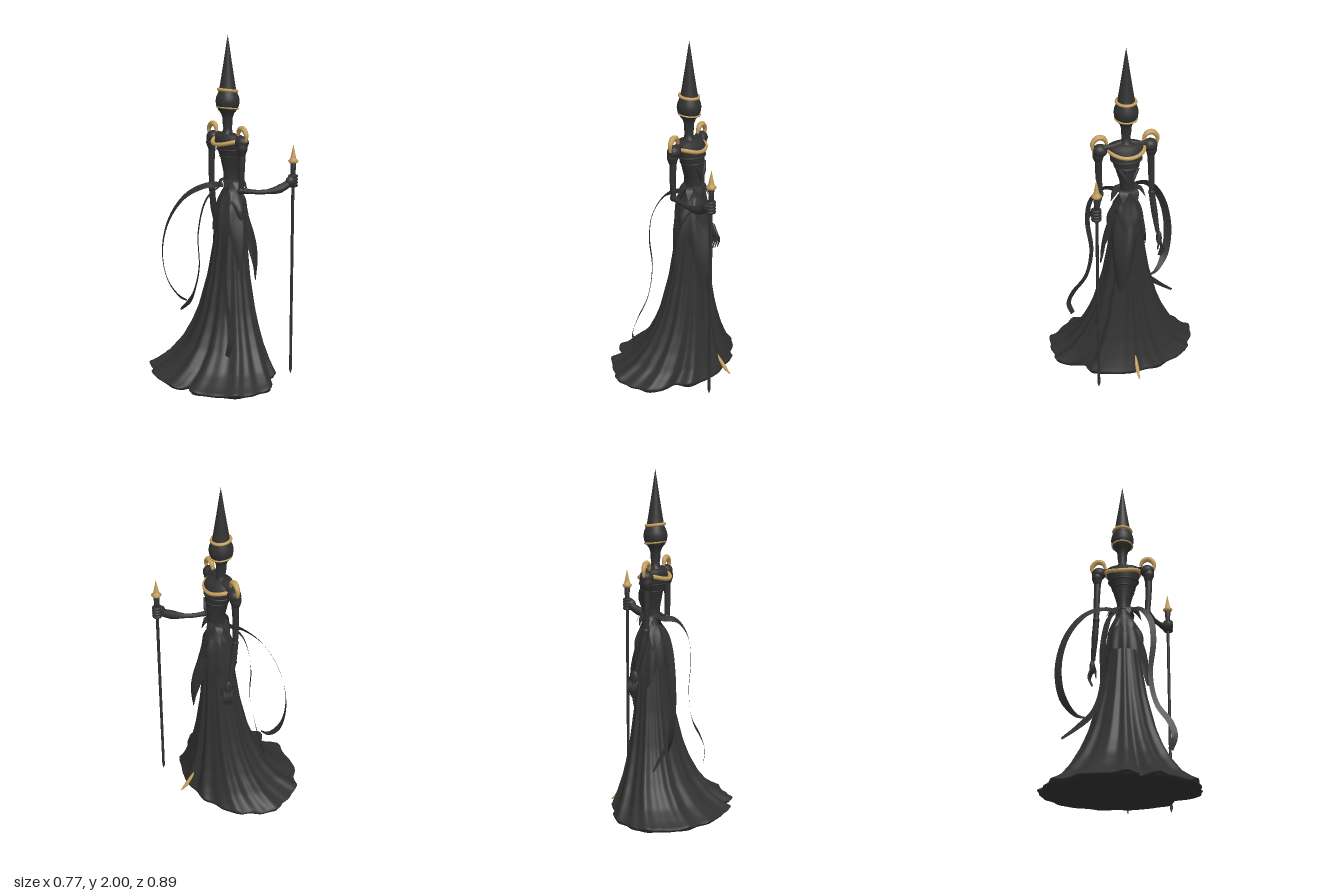
import * as THREE from 'three';

const V = (x, y, z) => new THREE.Vector3(x, y, z);
const dark = new THREE.MeshStandardMaterial({ color: 0x313131, side: THREE.DoubleSide });
dark.name = 'charcoal';
const gold = new THREE.MeshStandardMaterial({ color: 0xc39e5a, side: THREE.DoubleSide });
gold.name = 'gold';

// Surface from rows of points; point(row, angle) gives a vertex, angles wrap round
function loft(rows, segs, point) {
  const pos = [], idx = [];
  for (let i = 0; i <= rows; i++)
    for (let j = 0; j < segs; j++) pos.push(...point(i, (j / segs) * Math.PI * 2));
  for (let i = 0; i < rows; i++)
    for (let j = 0; j < segs; j++) {
      const a = i * segs + j, b = i * segs + (j + 1) % segs, c = a + segs, d = b + segs;
      idx.push(a, c, b, b, c, d);
    }
  const g = new THREE.BufferGeometry();
  g.setAttribute('position', new THREE.Float32BufferAttribute(pos, 3));
  g.setIndex(idx);
  g.computeVertexNormals();
  return g;
}

// Linear lookup in a list of numbers, t from 0 to 1
function sample(list, t) {
  const f = t * (list.length - 1), i = Math.min(Math.floor(f), list.length - 2);
  return list[i] + (list[i + 1] - list[i]) * (f - i);
}

// Round tube whose radius changes along its path
function limb(pts, radii, segs = 24, sides = 10) {
  const curve = new THREE.CatmullRomCurve3(pts);
  const g = new THREE.TubeGeometry(curve, segs, 1, sides);
  const p = g.attributes.position, v = V();
  for (let i = 0; i < p.count; i++) {
    const t = Math.floor(i / (sides + 1)) / segs, c = curve.getPointAt(t);
    v.fromBufferAttribute(p, i).sub(c).multiplyScalar(sample(radii, t)).add(c);
    p.setXYZ(i, v.x, v.y, v.z);
  }
  g.computeVertexNormals();
  return g;
}

// Flat strip along a path; side(tangent) gives its width direction
function ribbon(pts, widths, side, segs = 40) {
  const curve = new THREE.CatmullRomCurve3(pts), pos = [], idx = [];
  for (let i = 0; i <= segs; i++) {
    const t = i / segs, c = curve.getPointAt(t);
    const s = side(curve.getTangentAt(t)).normalize().multiplyScalar(sample(widths, t) / 2);
    pos.push(c.x - s.x, c.y - s.y, c.z - s.z, c.x + s.x, c.y + s.y, c.z + s.z);
    if (i < segs) idx.push(2 * i, 2 * i + 1, 2 * i + 2, 2 * i + 1, 2 * i + 3, 2 * i + 2);
  }
  const g = new THREE.BufferGeometry();
  g.setAttribute('position', new THREE.Float32BufferAttribute(pos, 3));
  g.setIndex(idx);
  g.computeVertexNormals();
  return g;
}

// Skirt outline: height, back x, front x, half width
const SKIRT = [
  [0.01, -0.36, 0.285, 0.435], [0.025, -0.38, 0.295, 0.445], [0.05, -0.33, 0.285, 0.405], [0.1, -0.255, 0.268, 0.345],
  [0.2, -0.17, 0.24, 0.275], [0.3, -0.12, 0.222, 0.225], [0.4, -0.085, 0.208, 0.187], [0.6, -0.04, 0.188, 0.137],
  [0.8, -0.012, 0.178, 0.105], [1, 0.008, 0.165, 0.08], [1.06, 0.025, 0.158, 0.066], [1.12, 0.042, 0.148, 0.045],
];
function skirtAt(y) {
  let i = 0;
  while (i < SKIRT.length - 2 && y > SKIRT[i + 1][0]) i++;
  const [a, b] = [SKIRT[i], SKIRT[i + 1]], t = (y - a[0]) / (b[0] - a[0]);
  const [lo, hi, rz] = [1, 2, 3].map((k) => a[k] + (b[k] - a[k]) * t);
  return { cx: (lo + hi) / 2, rx: (hi - lo) / 2, rz };
}
// Smooth bump around angle c
const peak = (a, c, w) => Math.exp(-((Math.atan2(Math.sin(a - c), Math.cos(a - c)) / w) ** 2));

export function createModel() {
  const model = new THREE.Group();
  const add = (name, geo, mat = dark, parent = model) => {
    const m = new THREE.Mesh(geo, mat);
    m.name = name;
    parent.add(m);
    return m;
  };
  const ball = (name, x, y, z, sx, sy, sz) => {
    const m = add(name, new THREE.SphereGeometry(1, 20, 14));
    m.position.set(x, y, z);
    m.scale.set(sx, sy, sz);
  };

  // Pleated skirt with a spreading train and a closed underside
  const N = 48;
  add('skirt', loft(N, 180, (i, a) => {
    const u = Math.max(0, i - 1) / (N - 1), y = 0.01 + 1.11 * u ** 1.7, s = skirtAt(y);
    const fold = Math.sin(11 * a + 1.5 * Math.sin(2 * a) + u) + 0.6 * Math.sin(19 * a + 2 - u);
    const notch = (0.2 * peak(a, 2.75, 0.06) + 0.14 * peak(a, 0.85, 0.2)) * (1 - u) ** 3;
    const k = i === 0 ? 0 : 1 + (0.016 + 0.022 * Math.sin(Math.PI * Math.min(1, u * 1.1))) * fold - notch;
    const lift = 0.008 * Math.max(0, fold) * (1 - u) * (i > 1 ? 1 : 0);
    return [s.cx + s.rx * k * Math.cos(a), y + lift, s.rz * k * Math.sin(a)];
  }));

  // Draped overskirts with pointed, flaring hems
  const drape = (name, top, hem, flare) => add(name, loft(20, 120, (i, a) => {
    const t = i / 20, y = hem(a) + (top - hem(a)) * t, s = skirtAt(y);
    const grow = 0.006 + flare(a) * Math.sin(Math.PI * Math.min(1, (1 - t) * 0.72)) ** 2 + 0.006 * Math.sin(9 * a) * (1 - t);
    return [s.cx + (s.rx + grow) * Math.cos(a), y, (s.rz + grow) * Math.sin(a)];
  }));
  drape('longDrape', 1.09, (a) => 0.88 - 0.32 * peak(a, 0.4, 0.45) - 0.22 * peak(a, 1.8, 0.3) - 0.12 * peak(a, 4.6, 0.4),
    (a) => 0.008 + 0.05 * peak(a, 0.3, 0.5) + 0.024 * peak(a, 1.7, 0.4));
  drape('shortDrape', 1.11, (a) => 0.99 - 0.18 * peak(a, 0, 0.45) - 0.05 * Math.sin(5 * a),
    (a) => 0.006 + 0.02 * peak(a, 0, 0.6) + 0.018 * peak(a, 1.6, 0.4));

  // Bodice: height, centre x, half depth, half width
  const BODY = [[1.04, 0.095, 0.065, 0.066], [1.1, 0.095, 0.056, 0.05], [1.16, 0.095, 0.052, 0.036], [1.22, 0.095, 0.055, 0.042],
    [1.3, 0.09, 0.064, 0.066], [1.35, 0.085, 0.073, 0.086], [1.4, 0.078, 0.078, 0.1], [1.43, 0.07, 0.065, 0.098],
    [1.44, 0.064, 0.03, 0.035]];
  add('bodice', loft(BODY.length - 1, 40, (i, a) => {
    const [y, cx, rx, rz] = BODY[i];
    return [cx + rx * Math.cos(a), y, rz * Math.sin(a)];
  }));
  for (const [y, cx, rx, rz] of [[1.31, 0.09, 0.066, 0.067], [1.35, 0.084, 0.073, 0.086], [1.16, 0.095, 0.053, 0.038]]) {
    const band = add('bodiceBand', new THREE.TorusGeometry(1, 0.08, 8, 40).rotateX(Math.PI / 2));
    band.position.set(cx, y, 0);
    band.scale.set(rx, 0.07, rz);
  }
  for (const s of [1, -1])
    add('bodiceSeam', limb([V(0.14, 1.31, 0.055 * s), V(0.153, 1.26, 0.025 * s), V(0.15, 1.2, 0)], [0.007, 0.01, 0.004]));

  // Gold neckline, dipping at the front
  const neckline = [];
  for (let j = 0; j < 24; j++) {
    const a = (j / 24) * Math.PI * 2;
    neckline.push(V(0.07 + 0.086 * Math.cos(a), 1.383 + 0.022 * Math.sin(a) ** 2, 0.102 * Math.sin(a) - 0.003));
  }
  add('neckline', new THREE.TubeGeometry(new THREE.CatmullRomCurve3(neckline, true), 64, 0.012, 8, true), gold);

  // Neck, bulb head and tall pointed hat turned in one piece
  const head = new THREE.Group();
  head.name = 'head';
  head.position.set(0.065, 0, -0.004);
  model.add(head);
  const outline = [[0.05, 1.42], [0.03, 1.445], [0.024, 1.47], [0.029, 1.505], [0.029, 1.53], [0.037, 1.555], [0.053, 1.575],
    [0.065, 1.6], [0.069, 1.625], [0.065, 1.65], [0.054, 1.675], [0.049, 1.69], [0.042, 1.73], [0.023, 1.85], [0.009, 1.945], [0, 2]];
  add('headAndHat', new THREE.LatheGeometry(outline.map(([r, y]) => new THREE.Vector2(r, y)), 32), dark, head);
  for (const [y, r, tube] of [[1.688, 0.053, 0.009], [1.588, 0.061, 0.005]]) {
    const ring = add('headRing', new THREE.TorusGeometry(r, tube, 8, 40).rotateX(Math.PI / 2), gold, head);
    ring.position.y = y;
    ring.rotation.z = -0.12;
  }

  // Shoulders with curled gold horns
  for (const s of [1, -1]) {
    ball('shoulder', 0.06, 1.405, 0.145 * s, 0.038, 0.038, 0.043);
    add('collarbone', limb([V(0.065, 1.44, 0.02 * s), V(0.075, 1.43, 0.08 * s), V(0.06, 1.42, 0.14 * s)], [0.014, 0.012, 0.02]));
    add('shoulderCape', limb([V(0.06, 1.42, 0.152 * s), V(0.055, 1.37, 0.154 * s), V(0.055, 1.32, 0.15 * s)], [0.03, 0.033, 0.016]));
    add('shoulderHorn', limb([V(0.06, 1.412, 0.186 * s), V(0.06, 1.455, 0.186 * s), V(0.06, 1.484, 0.155 * s), V(0.06, 1.475, 0.122 * s),
      V(0.06, 1.44, 0.105 * s)], [0.007, 0.013, 0.016, 0.015, 0.008]), gold);
  }

  // Left arm reaching forward to grip the staff
  add('leftUpperArm', limb([V(0.06, 1.4, 0.15), V(0.055, 1.27, 0.153), V(0.055, 1.13, 0.145)], [0.022, 0.019, 0.016]));
  ball('leftElbow', 0.055, 1.13, 0.145, 0.02, 0.022, 0.02);
  add('leftForearm', limb([V(0.055, 1.13, 0.145), V(0.17, 1.117, 0.19), V(0.26, 1.13, 0.228), V(0.335, 1.165, 0.242)],
    [0.018, 0.013, 0.014, 0.026, 0.022]));
  ball('leftHand', 0.335, 1.17, 0.246, 0.034, 0.034, 0.027);
  for (let i = 0; i < 4; i++) {
    const finger = add('leftFinger', new THREE.TorusGeometry(0.02, 0.009, 8, 16).rotateX(Math.PI / 2));
    finger.position.set(0.353, 1.145 + i * 0.018, 0.242);
  }

  // Right arm hanging, with long fingers
  add('rightUpperArm', limb([V(0.06, 1.4, -0.15), V(0.055, 1.25, -0.155), V(0.06, 1.1, -0.158)], [0.022, 0.019, 0.016]));
  ball('rightElbow', 0.06, 1.1, -0.158, 0.02, 0.022, 0.02);
  add('rightForearm', limb([V(0.06, 1.1, -0.158), V(0.08, 0.98, -0.17), V(0.11, 0.86, -0.182)], [0.018, 0.019, 0.012]));
  ball('rightHand', 0.118, 0.825, -0.188, 0.025, 0.045, 0.016);
  for (let i = 0; i < 4; i++) {
    const x = 0.1 + i * 0.015;
    add('rightFinger', limb([V(x, 0.81, -0.19), V(x + 0.008, 0.76, -0.207), V(x + 0.006, 0.7 + 0.008 * i, -0.188)], [0.008, 0.008, 0.003], 10, 6));
  }
  add('rightThumb', limb([V(0.13, 0.85, -0.185), V(0.155, 0.81, -0.175), V(0.155, 0.77, -0.17)], [0.009, 0.008, 0.003], 10, 6));

  // Staff with a gold spear tip
  const staff = new THREE.Group();
  staff.name = 'staff';
  staff.position.set(0.354, 0, 0.24);
  model.add(staff);
  const turn = (pts) => new THREE.LatheGeometry(pts.map(([r, y]) => new THREE.Vector2(r, y)), 16);
  add('staffShaft', turn([[0, 0.005], [0.008, 0.03], [0.009, 1.2], [0.014, 1.21], [0.017, 1.275], [0, 1.28]]), dark, staff);
  add('staffTip', turn([[0, 1.272], [0.022, 1.275], [0.03, 1.287], [0.019, 1.298], [0.015, 1.31], [0, 1.385]]), gold, staff);

  // Gold pointed shoe under the hem
  add('shoeTip', limb([V(0.262, 0.12, -0.008), V(0.29, 0.08, -0.008), V(0.32, 0.042, -0.008), V(0.354, 0.01, -0.008)],
    [0.004, 0.01, 0.011, 0.003]), gold);

  // Curling petals round the waist
  const petals = new THREE.Group();
  petals.name = 'waistPetals';
  petals.position.x = 0.095;
  petals.scale.x = 0.75;
  model.add(petals);
  for (let i = 0; i < 8; i++) {
    const petal = add('waistPetal', ribbon([V(0.035, 1.13, 0), V(0.05, 1.172, 0), V(0.08, 1.168, 0), V(0.11, 1.115, 0)],
      [0.03, 0.055, 0.05, 0.004], () => V(0, 0, 1), 14), dark, petals);
    petal.rotation.y = (i / 8) * Math.PI * 2 + Math.PI / 8;
  }

  // Trailing sash ribbons
  const sash = (name, pts, widths, z) => add(name, ribbon(pts, widths, (t) => t.clone().cross(V(1, 0, z))));
  sash('rightSash', [V(0.05, 1.14, -0.03), V(-0.02, 1.13, -0.1), V(-0.1, 1.06, -0.2), V(-0.16, 0.9, -0.295), V(-0.178, 0.7, -0.335),
    V(-0.155, 0.53, -0.31), V(-0.115, 0.44, -0.24), V(-0.1, 0.43, -0.19)], [0.03, 0.04, 0.045, 0.045, 0.048, 0.045, 0.01], 0.45);
  sash('rightInnerSash', [V(0.04, 1.14, -0.03), V(-0.035, 1.06, -0.07), V(-0.075, 0.86, -0.1), V(-0.07, 0.64, -0.1),
    V(-0.08, 0.47, -0.15), V(-0.065, 0.39, -0.24), V(-0.055, 0.33, -0.33)], [0.03, 0.04, 0.04, 0.04, 0.035, 0.04, 0.015], 0.45);
  sash('leftSash', [V(0.05, 1.14, 0.03), V(-0.02, 1.12, 0.11), V(-0.065, 1.02, 0.175), V(-0.08, 0.88, 0.19), V(-0.075, 0.68, 0.17),
    V(-0.085, 0.5, 0.205), V(-0.11, 0.38, 0.28), V(-0.13, 0.29, 0.305), V(-0.13, 0.215, 0.28)], [0.03, 0.04, 0.035, 0.03, 0.03, 0.04, 0.03], -0.45);
  return model;
}
